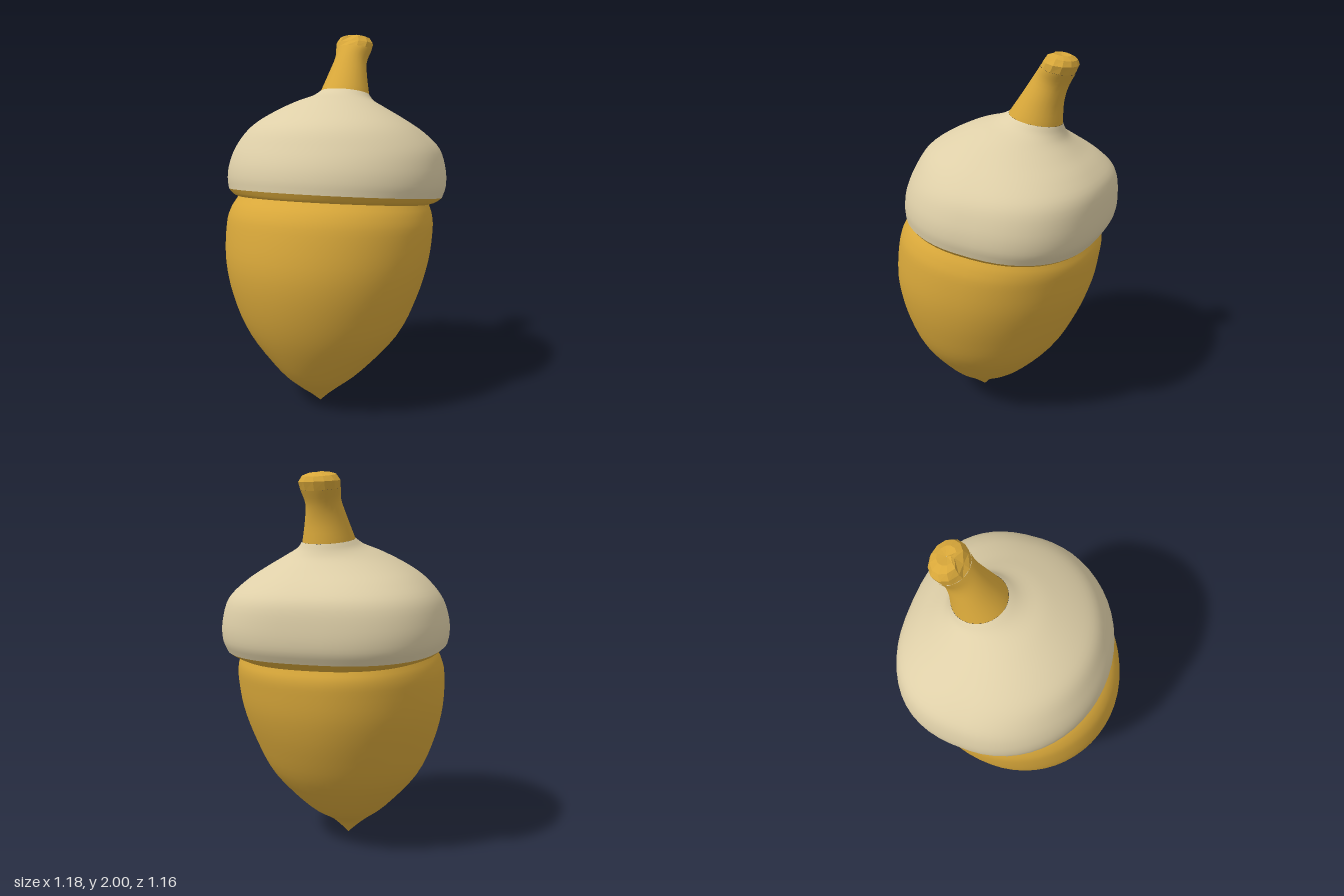
import * as THREE from 'three';

// Each ring: [frontZ, frontY, backZ, backY, halfWidth, backSquareness]
// Rings are tilted ovals running from a front point to a back point.
const nutRings = [
  [0.122, 0, 0.118, 0, 0.002, 2],
  [0.18, 0.05, 0.075, 0.05, 0.055, 2],
  [0.245, 0.10, 0.02, 0.10, 0.115, 2],
  [0.35, 0.20, -0.135, 0.20, 0.235, 2],
  [0.475, 0.40, -0.32, 0.40, 0.41, 2],
  [0.55, 0.60, -0.43, 0.60, 0.50, 2],
  [0.58, 0.80, -0.495, 0.78, 0.547, 2.1],
  [0.555, 1.00, -0.52, 0.93, 0.555, 2.2],
  [0.52, 1.09, -0.522, 1.0, 0.54, 2.3],
  [0.465, 1.15, -0.505, 1.05, 0.515, 2.4],
];
const lipRings = [
  [0.465, 1.15, -0.505, 1.05, 0.515, 2.4],
  [0.475, 1.16, -0.52, 1.065, 0.55, 2.5],
  [0.49, 1.19, -0.54, 1.085, 0.578, 2.6],
];
const capRings = [
  [0.49, 1.19, -0.54, 1.085, 0.578, 2.6],
  [0.49, 1.25, -0.572, 1.15, 0.592, 2.6],
  [0.475, 1.32, -0.58, 1.25, 0.585, 2.6],
  [0.44, 1.40, -0.565, 1.37, 0.55, 2.5],
  [0.38, 1.50, -0.50, 1.45, 0.47, 2.4],
  [0.28, 1.57, -0.42, 1.515, 0.375, 2.2],
  [0.14, 1.635, -0.36, 1.57, 0.26, 2],
  [0.02, 1.67, -0.335, 1.61, 0.175, 2],
  [-0.05, 1.70, -0.322, 1.65, 0.135, 2],
];
const stemRings = [
  [-0.05, 1.70, -0.322, 1.65, 0.135, 2],
  [-0.12, 1.80, -0.325, 1.75, 0.108, 2],
  [-0.18, 1.89, -0.345, 1.83, 0.09, 2],
  [-0.215, 1.94, -0.38, 1.90, 0.103, 2],
];
const knobRings = [
  [-0.215, 1.94, -0.38, 1.90, 0.103, 2],
  [-0.23, 1.965, -0.397, 1.94, 0.108, 2],
  [-0.25, 1.995, -0.388, 1.965, 0.088, 2],
  [-0.275, 2.0, -0.36, 1.985, 0.05, 2],
  [-0.315, 1.985, -0.32, 1.985, 0.002, 2],
];

// Skin a smooth surface through the rings
function loft(rings, sides, steps) {
  const front = new THREE.CatmullRomCurve3(
    rings.map(r => new THREE.Vector3(r[4], r[1], r[0])), false, 'catmullrom', 0.5);
  const back = new THREE.CatmullRomCurve3(
    rings.map(r => new THREE.Vector3(r[5], r[3], r[2])), false, 'catmullrom', 0.5);
  const pos = [], index = [];
  for (let i = 0; i <= steps; i++) {
    const f = front.getPoint(i / steps), b = back.getPoint(i / steps);
    const mid = (f.z + b.z) / 2, depth = (f.z - b.z) / 2;
    for (let j = 0; j < sides; j++) {
      const a = j / sides * Math.PI * 2, s = Math.sin(a), c = Math.cos(a);
      const e = c < 0 ? 2 / b.x : 1;
      const x = f.x * Math.sign(s) * Math.abs(s) ** e;
      const k = Math.sign(c) * Math.abs(c) ** e;
      pos.push(x, THREE.MathUtils.lerp(b.y, f.y, (k + 1) / 2), mid + depth * k);
      if (i < steps) {
        const n = (j + 1) % sides, p = i * sides, q = p + sides;
        index.push(p + j, p + n, q + n, p + j, q + n, q + j);
      }
    }
  }
  const geo = new THREE.BufferGeometry();
  geo.setAttribute('position', new THREE.Float32BufferAttribute(pos, 3));
  geo.setIndex(index);
  geo.computeVertexNormals();
  return geo;
}

export function createModel() {
  const group = new THREE.Group();
  const golden = new THREE.MeshStandardMaterial({ color: 0xd9a83a });
  golden.name = 'golden nut';
  const cream = new THREE.MeshStandardMaterial({ color: 0xdecfa8 });
  cream.name = 'cream cap';

  const add = (name, geo, material) => {
    const mesh = new THREE.Mesh(geo, material);
    mesh.name = name;
    group.add(mesh);
  };

  add('nut', loft(nutRings, 56, 36), golden);
  add('capUnderside', loft(lipRings, 56, 6), golden);
  add('cap', loft(capRings, 56, 32), cream);
  add('stem', loft(stemRings, 24, 12), golden);

  // Cut end of the stem, faceted, with a small notch in front
  const knob = loft(knobRings, 12, 4);
  const p = knob.attributes.position;
  for (const [ring, dent] of [[1, 0.012], [2, 0.03], [3, 0.02]]) {
    p.setZ(ring * 12, p.getZ(ring * 12) - dent);
  }
  const facets = knob.toNonIndexed();
  facets.computeVertexNormals();
  add('stemEnd', facets, golden);

  return group;
}
